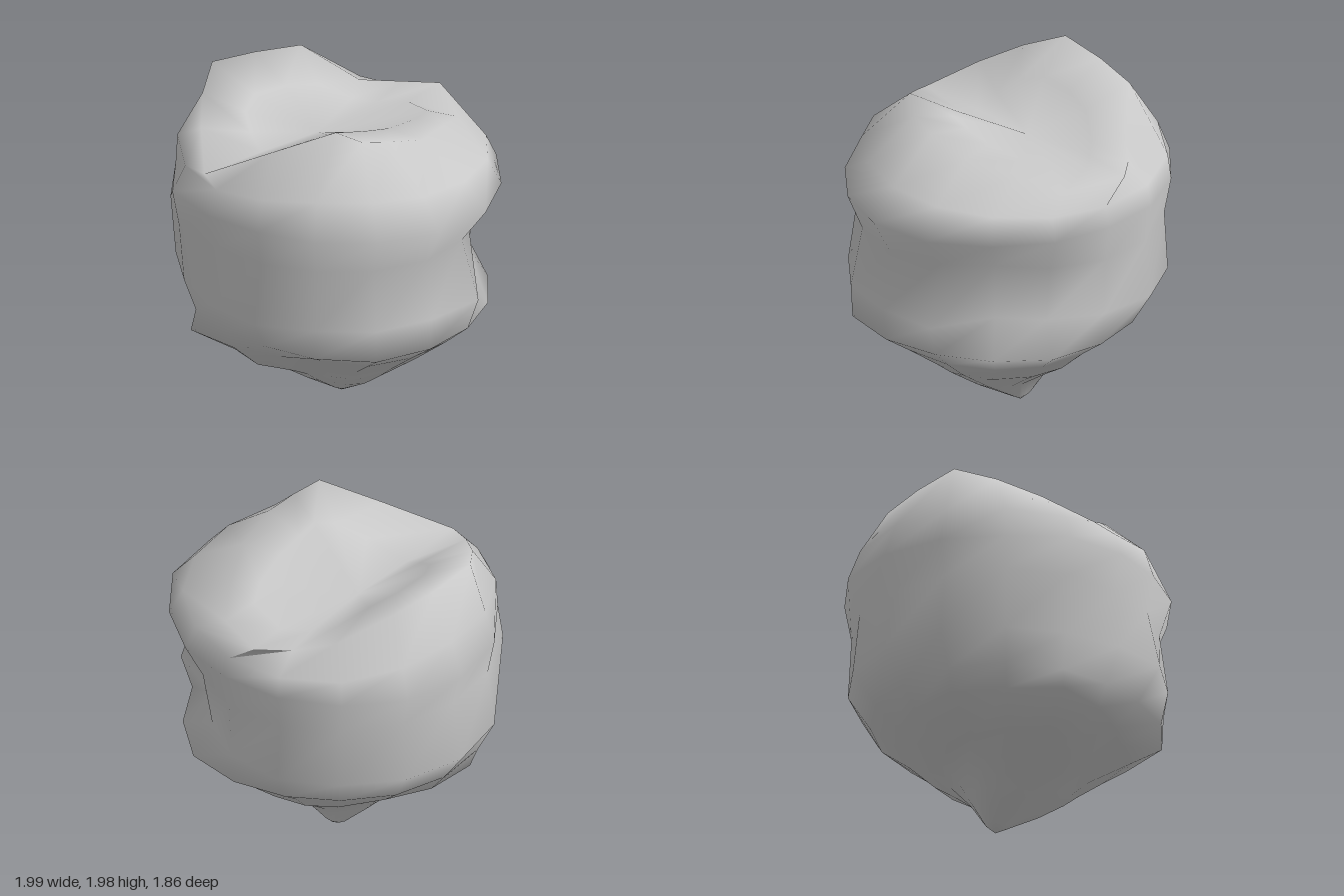
import * as THREE from 'three';

const SEGMENTS = 16;

// Side rings from bottom to top: radii (from +x round through +z), heights, and centre shift.
const RINGS = [
  { r: [0.07, 0.06, 0.06, 0.07, 0.08, 0.06, 0.05, 0.06], y: 0.04, c: [-0.06, -0.07] },
  { r: [0.26, 0.2, 0.22, 0.27, 0.24, 0.2, 0.16, 0.22], y: 0.17, c: [-0.03, -0.03] },
  { r: [0.4, 0.32, 0.36, 0.42, 0.36, 0.36, 0.37, 0.38], y: 0.29 },
  { r: [0.51, 0.42, 0.57, 0.6, 0.47, 0.48, 0.51, 0.53], y: 0.38 },
  { r: [0.72, 0.71, 0.62, 0.65, 0.74, 0.87, 0.81, 0.83, 0.76, 0.69, 0.66, 0.66, 0.69, 0.72, 0.73, 0.73], y: 0.54 },
  { r: [0.9, 0.92, 0.86, 0.8, 0.8, 0.84, 0.88, 0.88, 0.86, 0.84, 0.82, 0.83, 0.86, 0.9, 0.88, 0.88], y: 0.67 },
  { r: [0.92, 0.93, 0.9, 0.94, 0.91, 0.91, 0.94, 0.98, 1, 0.98, 0.95, 0.95, 0.88, 0.78, 0.71, 0.95], y: 0.87 },
  { r: [0.87, 0.86, 0.85, 0.86, 0.88, 0.94, 0.97, 0.94, 0.93, 0.94, 0.93, 0.92, 0.9, 0.84, 0.76, 0.84], y: 1.23 },
  { r: [0.99, 0.95, 0.92, 0.9, 0.93, 0.98, 0.94, 0.98, 1, 1.01, 0.97, 0.95, 0.93, 0.95, 0.96, 1], y: 1.45 },
  { r: [0.84, 0.82, 0.87, 0.93, 0.92, 0.95, 0.9, 0.88], y: [1.63, 1.66, 1.6, 1.63, 1.66, 1.6, 1.57, 1.6] },
];

// Crest around the top: two high points with a valley running between them
const CREST = [
  [0.54, 1.87, 0.02], [0.51, 1.91, 0.2], [0.43, 1.98, 0.33], [0.16, 1.82, 0.58],
  [-0.14, 1.64, 0.85], [-0.4, 1.78, 0.68], [-0.6, 1.88, 0.52], [-0.76, 1.96, 0.33],
  [-0.76, 1.93, 0.02], [-0.72, 1.9, -0.28], [-0.48, 1.7, -0.52], [-0.33, 1.69, -0.72],
  [-0.17, 1.7, -0.87], [0.18, 1.66, -0.74], [0.34, 1.74, -0.52], [0.5, 1.79, -0.24],
];

// Floor of the valley
const HOLLOW = [
  [0.28, 1.83, 0], [0.28, 1.86, 0.12], [0.2, 1.84, 0.22], [0.05, 1.75, 0.32],
  [-0.17, 1.64, 0.42], [-0.3, 1.71, 0.4], [-0.42, 1.78, 0.35], [-0.5, 1.82, 0.22],
  [-0.5, 1.81, 0], [-0.45, 1.78, -0.2], [-0.35, 1.68, -0.37], [-0.25, 1.66, -0.47],
  [-0.12, 1.68, -0.6], [0.12, 1.73, -0.56], [0.2, 1.75, -0.42], [0.27, 1.79, -0.18],
];

// Smooth closed interpolation through evenly spaced control values
function sample(values, t) {
  if (!Array.isArray(values)) return values;
  const n = values.length, i = Math.floor(t * n), f = t * n - i;
  const [a, b, c, d] = [-1, 0, 1, 2].map(k => values[(i + k + n) % n]);
  return b + 0.5 * f * (c - a + f * (2 * a - 5 * b + 4 * c - d + f * (3 * (b - c) + d - a)));
}

function rockGeometry() {
  const pos = [], index = [];
  for (const { r, y, c = [0, 0] } of RINGS) {
    for (let j = 0; j < SEGMENTS; j++) {
      const t = j / SEGMENTS, angle = t * Math.PI * 2, radius = sample(r, t);
      pos.push(c[0] + radius * Math.cos(angle), sample(y, t), c[1] + radius * Math.sin(angle));
    }
  }
  pos.push(...CREST.flat(), ...HOLLOW.flat());
  const bottom = pos.length / 3, top = bottom + 1;
  pos.push(-0.06, 0, -0.08); // bottom tip
  pos.push(-0.18, 1.64, 0); // middle of the valley
  const last = bottom - SEGMENTS;
  for (let j = 0; j < SEGMENTS; j++) {
    const k = (j + 1) % SEGMENTS;
    for (let i = 0; i < last; i += SEGMENTS) {
      const a = i + j, b = i + k, c = a + SEGMENTS, d = b + SEGMENTS;
      index.push(a, c, b, b, c, d);
    }
    index.push(bottom, j, k, last + j, top, last + k);
  }
  const geometry = new THREE.BufferGeometry();
  geometry.setAttribute('position', new THREE.Float32BufferAttribute(pos, 3));
  geometry.setIndex(index);
  geometry.computeVertexNormals();
  return geometry;
}

export function createModel() {
  const group = new THREE.Group();
  group.name = 'rock';
  const stone = new THREE.MeshStandardMaterial({ color: 0xc8c8c8 });
  stone.name = 'stone grey';
  const body = new THREE.Mesh(rockGeometry(), stone);
  body.name = 'rockBody';
  group.add(body);
  return group;
}
